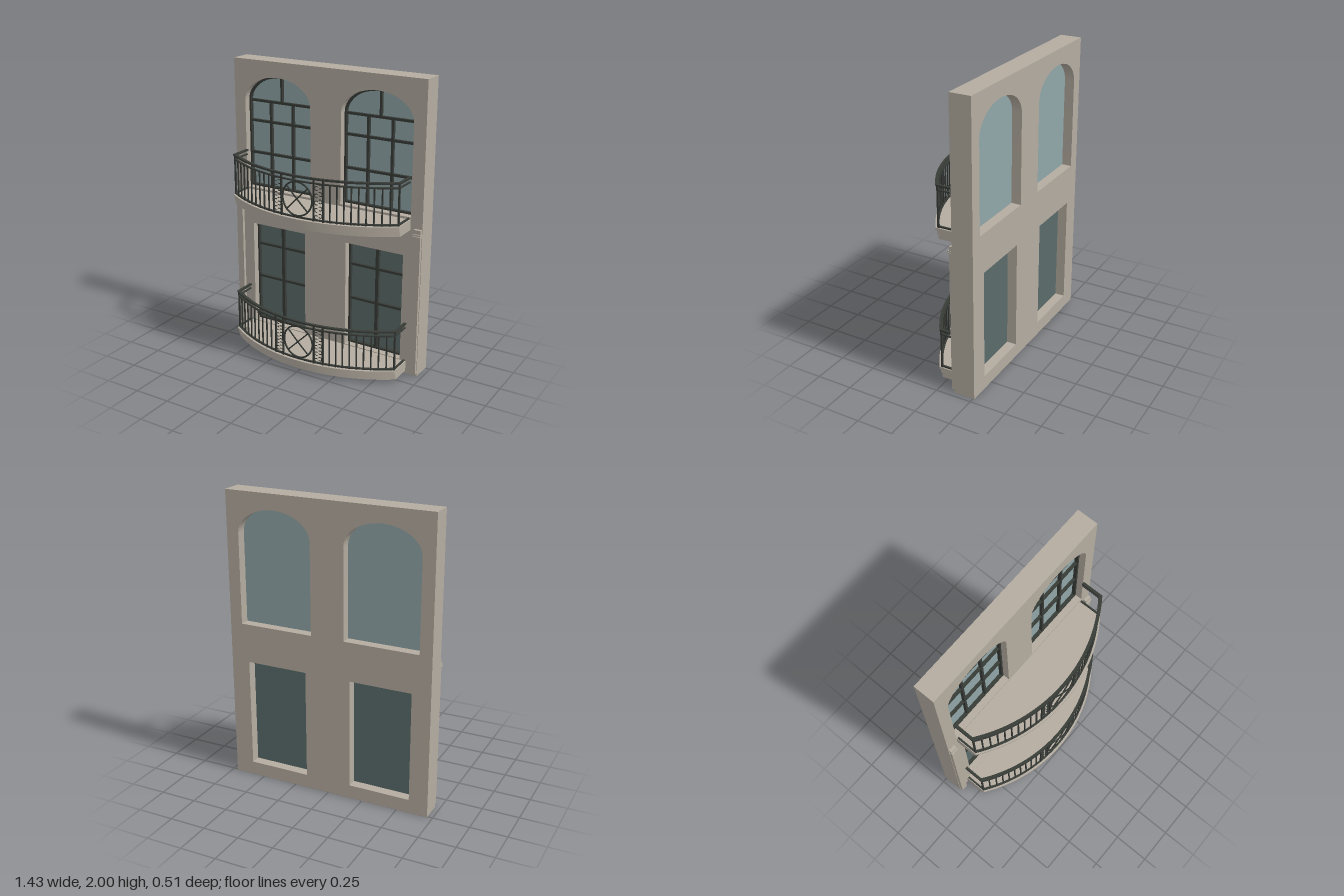
import * as THREE from 'three';
import { toCreasedNormals } from 'three/addons/utils/BufferGeometryUtils.js';

const stone = new THREE.MeshStandardMaterial({ color: 0xb4aca0 });
stone.name = 'stone';
const iron = new THREE.MeshStandardMaterial({ color: 0x383c37 });
iron.name = 'dark iron';
const paleGlass = new THREE.MeshStandardMaterial({ color: 0x90a6a8 });
paleGlass.name = 'pale glass';
const darkGlass = new THREE.MeshStandardMaterial({ color: 0x5a6c6b });
darkGlass.name = 'dark glass';

const WALL_FRONT = -0.115, WALL_BACK = -0.26, GLASS_Z = -0.187;

function add(parent, name, geometry, material) {
  const mesh = new THREE.Mesh(geometry, material);
  mesh.name = name;
  parent.add(mesh);
  return mesh;
}

// Box given by its minimum and maximum corners
function block(parent, name, material, x0, x1, y0, y1, z0, z1) {
  const mesh = add(parent, name, new THREE.BoxGeometry(x1 - x0, y1 - y0, z1 - z0), material);
  mesh.position.set((x0 + x1) / 2, (y0 + y1) / 2, (z0 + z1) / 2);
  return mesh;
}

// Window outline: rectangle, with an elliptical head when rise > 0
function windowPoints(cx, half, y0, ySpring, rise, inset = 0) {
  const a = half - inset, b = rise - inset;
  const pts = [new THREE.Vector2(cx - a, y0 + inset), new THREE.Vector2(cx + a, y0 + inset)];
  if (rise > 0) {
    for (let i = 0; i <= 28; i++) {
      const t = Math.PI * i / 28;
      pts.push(new THREE.Vector2(cx + a * Math.cos(t), ySpring + b * Math.sin(t)));
    }
  } else {
    pts.push(new THREE.Vector2(cx + a, ySpring - inset), new THREE.Vector2(cx - a, ySpring - inset));
  }
  return pts;
}

function extrudeZ(shape, z0, z1) {
  const g = new THREE.ExtrudeGeometry(shape, { depth: z1 - z0, bevelEnabled: false });
  return toCreasedNormals(g.translate(0, 0, z0), 0.5);
}

// Bowed plan: depth of the arc at x, for half width hx, side depth zs and centre depth zc
function bow(x, hx, zs, zc) {
  const s = zc - zs, r = (hx * hx + s * s) / (2 * s);
  return zc - r + Math.sqrt(r * r - x * x);
}

function planPoints(hx, zs, zc, zBack) {
  const pts = [new THREE.Vector2(hx, zBack)];
  for (let i = 0; i <= 32; i++) {
    const x = hx * (1 - i / 16);
    pts.push(new THREE.Vector2(x, bow(x, hx, zs, zc)));
  }
  pts.push(new THREE.Vector2(-hx, zBack));
  return pts;
}

function extrudePlan(pts, y0, y1) {
  const g = new THREE.ExtrudeGeometry(new THREE.Shape(pts), { depth: y1 - y0, bevelEnabled: false });
  return toCreasedNormals(g.rotateX(Math.PI / 2).translate(0, y1, 0), 0.5);
}

function createWindow(name, cx, spec) {
  const g = new THREE.Group();
  g.name = name;
  const { half, y0, spring, rise, glass } = spec;
  const outline = inset => windowPoints(cx, half, y0, spring, rise, inset);
  add(g, 'glass', extrudeZ(new THREE.Shape(outline(0)), GLASS_Z - 0.006, GLASS_Z), glass);
  const frame = new THREE.Shape(outline(0));
  frame.holes.push(new THREE.Path(outline(0.013)));
  add(g, 'frame', extrudeZ(frame, GLASS_Z, GLASS_Z + 0.025), iron);
  for (const [x, a, b, w] of spec.uprights)
    block(g, 'mullion', iron, cx + x - w / 2, cx + x + w / 2, a, b, GLASS_Z, GLASS_Z + 0.022);
  for (const y of spec.bars)
    block(g, 'glazingBar', iron, cx - half + 0.01, cx + half - 0.01, y - 0.008, y + 0.008, GLASS_Z, GLASS_Z + 0.02);
  return g;
}

// Balcony with stepped slab and iron railing; y is the underside of the slab
function createBalcony(name, y) {
  const g = new THREE.Group();
  g.name = name;
  const steps = [[0, 0.03, 0.03, 0.232], [0.03, 0.055, 0.04, 0.243], [0.055, 0.07, 0.05, 0.255]];
  for (const [a, b, zs, zc] of steps)
    add(g, 'slabStep', extrudePlan(planPoints(0.63, zs, zc, WALL_FRONT), a, b), stone);

  // Rails running round the three open sides
  const rail = (railName, y0, y1, w) => {
    const outer = planPoints(0.62 + w, 0.035 + w, 0.235 + w, -0.108);
    const inner = planPoints(0.62 - w, 0.035 - w, 0.235 - w, -0.108).reverse();
    add(g, railName, extrudePlan([...outer, ...inner], y0, y1), iron);
  };
  rail('handrail', 0.343, 0.355, 0.009);
  rail('upperRail', 0.315, 0.324, 0.006);
  rail('bottomRail', 0.074, 0.084, 0.006);

  const zAt = x => bow(x, 0.62, 0.035, 0.235);
  const bar = (barName, x, top, w) =>
    block(g, barName, iron, x - w / 2, x + w / 2, 0.07, top, zAt(x) - w / 2, zAt(x) + w / 2);
  for (const s of [-1, 1]) {
    for (const x of [0.62, 0.185, 0.12]) bar('post', s * x, 0.345, 0.011);
    for (let i = 1; i < 10; i++) bar('baluster', s * (0.185 + 0.0435 * i), 0.318, 0.008);

    // Column of scrolls between the posts
    for (let i = 0; i < 5; i++) {
      for (const side of [-1, 1]) {
        const scroll = add(g, 'scroll', new THREE.TorusGeometry(0.013, 0.003, 5, 14, Math.PI * 1.5), iron);
        const x = s * 0.1525 + side * 0.013;
        scroll.position.set(x, 0.103 + i * 0.048 + side * s * 0.006, zAt(x));
        scroll.rotation.z = side > 0 ? -Math.PI * 0.75 : Math.PI * 0.25;
      }
    }

    // Diagonals of the central panel
    const diagonal = [-1, 0, 1].map(t =>
      new THREE.Vector3(t * 0.078, 0.2 + s * t * 0.078, zAt(t * 0.078)));
    add(g, 'diagonal', new THREE.TubeGeometry(new THREE.CatmullRomCurve3(diagonal), 8, 0.005, 6), iron);
  }

  // Central ring, bent to follow the bow
  const ring = [];
  for (let i = 0; i < 24; i++) {
    const t = Math.PI * 2 * i / 24, x = 0.11 * Math.cos(t);
    ring.push(new THREE.Vector3(x, 0.2 + 0.113 * Math.sin(t), zAt(x)));
  }
  add(g, 'centralRing', new THREE.TubeGeometry(new THREE.CatmullRomCurve3(ring, true), 48, 0.006, 6, true), iron);
  g.position.y = y;
  return g;
}

export function createModel() {
  const model = new THREE.Group();
  model.name = 'balconyFacade';

  const upper = {
    half: 0.2575, y0: 1.11, spring: 1.72, rise: 0.175, glass: paleGlass,
    uprights: [[-0.087, 1.115, 1.72, 0.016], [0.087, 1.115, 1.72, 0.016], [0, 1.72, 1.885, 0.014]],
    bars: [1.35, 1.575, 1.715],
  };
  const lower = {
    half: 0.2125, y0: 0.095, spring: 0.845, rise: 0, glass: darkGlass,
    uprights: [[0, 0.1, 0.84, 0.022]],
    bars: [0.43, 0.68],
  };

  // Wall with four window openings
  const wall = new THREE.Shape([[-0.715, 0], [0.715, 0], [0.715, 2], [-0.715, 2]].map(p => new THREE.Vector2(...p)));
  for (const s of [-1, 1]) {
    for (const [w, label] of [[upper, 'archedWindow'], [lower, 'lowerWindow']]) {
      const cx = s * 0.373;
      wall.holes.push(new THREE.Path(windowPoints(cx, w.half, w.y0, w.spring, w.rise)));
      model.add(createWindow((s > 0 ? 'left' : 'right') + label, cx, w));
    }
  }
  add(model, 'wall', extrudeZ(wall, WALL_BACK, WALL_FRONT), stone);

  // Corner pilasters with two neck bands
  for (const s of [-1, 1]) {
    const pilaster = new THREE.Group();
    pilaster.name = s > 0 ? 'leftPilaster' : 'rightPilaster';
    const part = (n, half, y0, y1, z) =>
      block(pilaster, n, stone, s * 0.688 - half, s * 0.688 + half, y0, y1, WALL_FRONT - 0.01, z);
    part('shaft', 0.024, 0.02, 1.04, -0.093);
    part('neckBand', 0.027, 0.988, 0.998, -0.085);
    part('neckBand', 0.027, 1.002, 1.012, -0.085);
    model.add(pilaster);
  }

  model.add(createBalcony('lowerBalcony', 0.02), createBalcony('upperBalcony', 1.025));
  return model;
}
